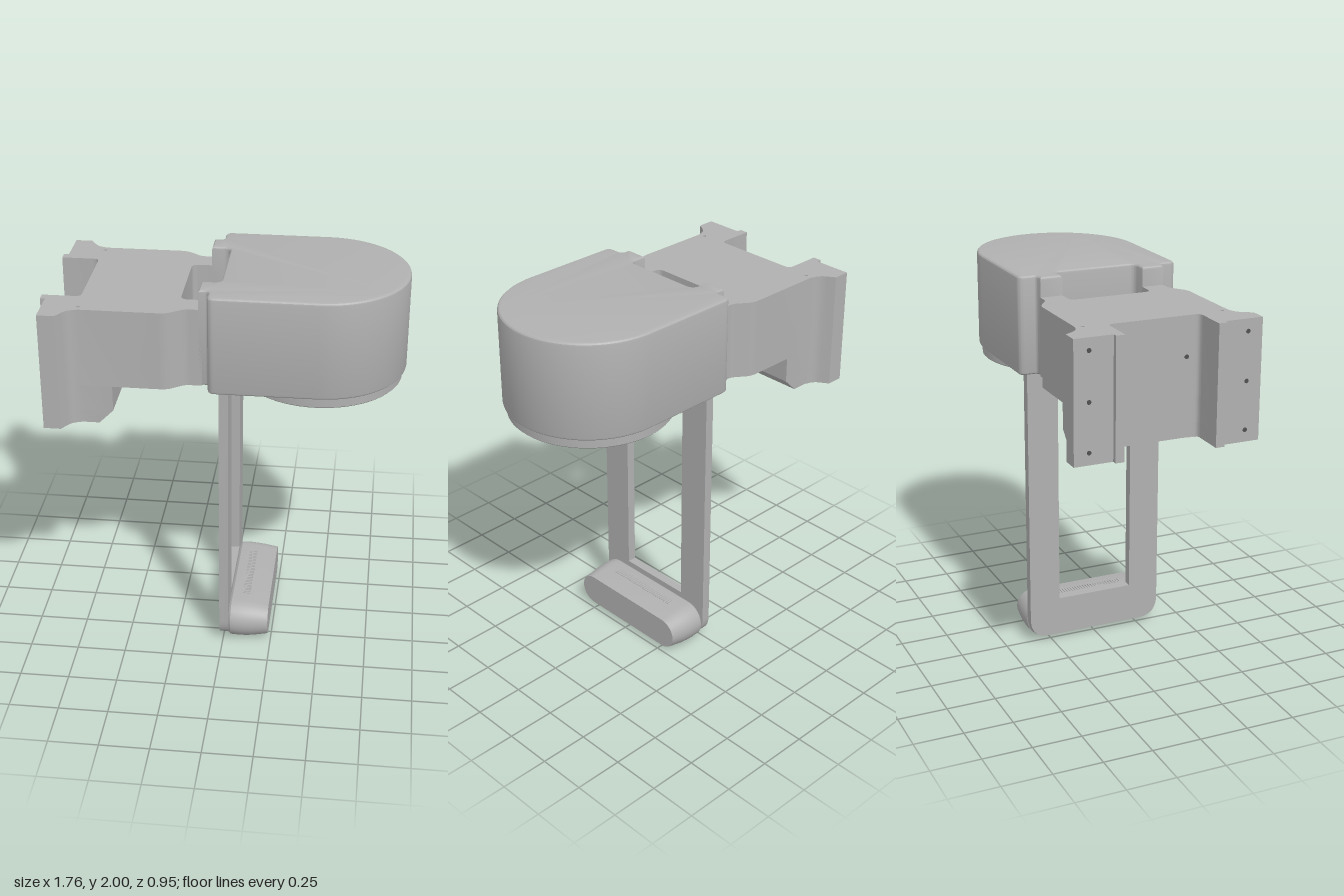
import * as THREE from 'three';
import { toCreasedNormals } from 'three/addons/utils/BufferGeometryUtils.js';

const grey = new THREE.MeshStandardMaterial({ color: 0xb0b0b0 });
grey.name = 'body grey';
const dark = new THREE.MeshStandardMaterial({ color: 0x505050 });
dark.name = 'screw hole grey';

// Closed shape from [x, y, cornerRadius] points
function roundedShape(points) {
  const shape = new THREE.Shape();
  const n = points.length;
  points.forEach(([x, y, r = 0], i) => {
    const p = new THREE.Vector2(x, y);
    const toward = (q) => p.clone().add(new THREE.Vector2(q[0], q[1]).sub(p).setLength(r));
    const a = r ? toward(points[(i + n - 1) % n]) : p;
    if (i === 0) shape.moveTo(a.x, a.y);
    else shape.lineTo(a.x, a.y);
    if (r) {
      const b = toward(points[(i + 1) % n]);
      shape.quadraticCurveTo(x, y, b.x, b.y);
    }
  });
  shape.closePath();
  return shape;
}

// Completes half a plan outline by reflecting it across the centre line
const mirrored = (half) => [...half, ...half.map(([x, y, r]) => [x, -y, r]).reverse()];

// Raises a plan outline from y0 to y1
function raisePlan(shape, y0, y1, bevel = 0) {
  const geo = new THREE.ExtrudeGeometry(shape, {
    depth: y1 - y0 - 2 * bevel, curveSegments: 8, bevelEnabled: bevel > 0,
    bevelSize: bevel, bevelThickness: bevel, bevelOffset: -bevel, bevelSegments: 3,
  });
  geo.rotateX(-Math.PI / 2).translate(0, y0 + bevel, 0);
  return geo;
}

// Lofts stadium sections [x, halfWidth, yLow, yHigh] along x
function loftStadium(sections, steps = 16) {
  const pos = [], index = [], n = 2 * (steps + 1);
  for (const [x, hw, lo, hi] of sections) {
    const r = (hi - lo) / 2;
    for (const side of [1, -1]) {
      for (let i = 0; i <= steps; i++) {
        const a = (side > 0 ? 0 : Math.PI) + (i / steps) * Math.PI;
        pos.push(x, (lo + hi) / 2 + r * Math.cos(a), side * (hw - r) + r * Math.sin(a));
      }
    }
  }
  const last = (sections.length - 1) * n;
  for (let j = 0; j < n; j++) {
    const k = (j + 1) % n;
    for (let s = 0; s < last; s += n) {
      index.push(s + j, s + k, s + n + k, s + j, s + n + k, s + n + j);
    }
    if (j > 0 && j < n - 1) index.push(0, k, j, last, last + j, last + k);
  }
  const geo = new THREE.BufferGeometry();
  geo.setAttribute('position', new THREE.Float32BufferAttribute(pos, 3));
  geo.setIndex(index);
  return geo;
}

export function createModel() {
  const group = new THREE.Group();
  const add = (name, geo, material = grey) => {
    const mesh = new THREE.Mesh(toCreasedNormals(geo, 0.5), material);
    mesh.name = name;
    group.add(mesh);
    return mesh;
  };

  // Head: rounded front, notched at the rear
  const headHalf = [
    [-0.02, 0.215, 0.035], [-0.115, 0.215], [-0.115, 0.33],
    [-0.065, 0.33, 0.02], [-0.065, 0.423, 0.035],
  ];
  for (let i = 0; i < 24; i++) {
    const a = Math.PI / 2 * (1 - i / 24);
    headHalf.push([0.457 + 0.423 * Math.cos(a), 0.423 * Math.sin(a)]);
  }
  headHalf.push([0.88, 0.004]);
  add('head', raisePlan(roundedShape(mirrored(headHalf)), 1.5, 2, 0.016));

  // Round cover under the head
  const cover = new THREE.LatheGeometry(
    [[0, 1.45], [0.402, 1.45], [0.408, 1.456], [0.408, 1.51]].map((p) => new THREE.Vector2(...p)), 64);
  add('bottomCover', cover.translate(0.453, 0, 0));

  // Wall bracket
  const rearHalf = [
    [-0.695, 0.235, 0.03], [-0.885, 0.235], [-0.885, 0.28], [-0.86, 0.28],
    [-0.86, 0.475], [-0.775, 0.475], [-0.733, 0.407, 0.03], [-0.68, 0.39],
  ];
  const bracket = roundedShape(mirrored([
    [-0.215, 0.215, 0.035], [-0.10, 0.215], [-0.10, 0.33], [-0.18, 0.33, 0.02],
    [-0.265, 0.39, 0.03], ...rearHalf.slice().reverse(),
  ]));
  for (const s of [1, -1]) {
    const hole = new THREE.Path();
    hole.absarc(-0.685, s * 0.355, 0.009, 0, Math.PI * 2, true);
    bracket.holes.push(hole);
  }
  add('bracket', raisePlan(bracket, 1.5, 1.9));

  const skirt = roundedShape(mirrored([...rearHalf, [-0.53, 0.39]]));
  add('bracketSkirt', raisePlan(skirt, 1.37, 1.5));

  // Lowest part of the bracket, its front face sloping back
  const foot = raisePlan(skirt, 1.3, 1.37);
  const p = foot.attributes.position;
  for (let i = 0; i < p.count; i++) {
    if (p.getY(i) < 1.335 && p.getX(i) > -0.6) p.setX(i, -0.6);
  }
  foot.computeVertexNormals();
  add('bracketChamfer', foot);

  // Screw holes on the rear faces
  const screw = (x, y, z) => {
    const disc = new THREE.CylinderGeometry(0.011, 0.011, 0.004, 16);
    add('screwHole', disc.rotateZ(Math.PI / 2).translate(x, y, z), dark);
  };
  for (const z of [-0.4, 0.4]) for (const y of [1.36, 1.6, 1.84]) screw(-0.86, y, z);
  for (const z of [-0.17, 0.17]) screw(-0.695, 1.7, z);

  // U-shaped hanging frame
  const frame = new THREE.ExtrudeGeometry(roundedShape([
    [-0.368, 1.51], [-0.368, 0.025, 0.11], [0.368, 0.025, 0.11], [0.368, 1.51],
    [0.203, 1.51], [0.203, 0.23], [-0.203, 0.23], [-0.203, 1.51],
  ]), { depth: 0.046, bevelEnabled: false, curveSegments: 10 });
  add('hangingFrame', frame.rotateY(Math.PI / 2).translate(-0.016, 0, 0));

  // Tapered pod at the bottom of the frame
  add('pod', loftStadium([
    [0.028, 0.355, 0.016, 0.196], [0.04, 0.366, 0.005, 0.206], [0.08, 0.368, 0.003, 0.208],
    [0.12, 0.366, 0.003, 0.205], [0.16, 0.362, 0.007, 0.201], [0.235, 0.35, 0.022, 0.188],
  ]));

  // Fine grille ribs above and below the pod
  for (let i = 0; i < 28; i++) {
    const z = -0.2 + (i / 27) * 0.4;
    for (const y of [0.205, 0.004]) {
      add('grilleRib', new THREE.BoxGeometry(0.04, 0.007, 0.005).translate(0.11, y, z));
    }
  }
  return group;
}
